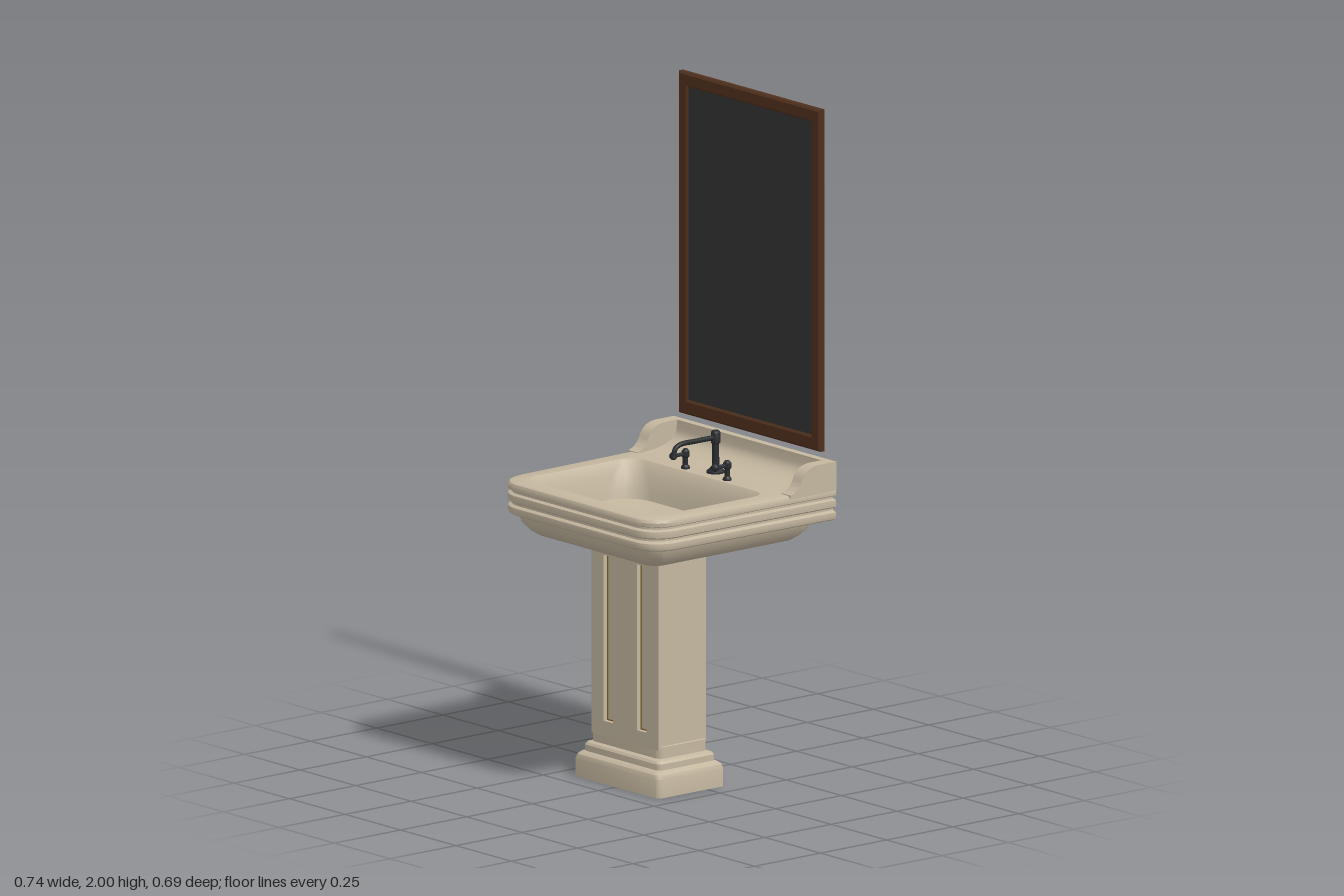
import * as THREE from 'three';
import { toCreasedNormals } from 'three/addons/utils/BufferGeometryUtils.js';

const ceramic = new THREE.MeshStandardMaterial({ name: 'ceramic', color: 0xc4b79f, side: THREE.DoubleSide });
const wood = new THREE.MeshStandardMaterial({ name: 'dark wood', color: 0x50301c });
const glass = new THREE.MeshStandardMaterial({ name: 'mirror glass', color: 0x333333 });
const metal = new THREE.MeshStandardMaterial({ name: 'dark metal', color: 0x282b2e });
const brass = new THREE.MeshStandardMaterial({ name: 'brass', color: 0x8f6a38 });

function add(parent, name, geometry, material, x = 0, y = 0, z = 0) {
  const mesh = new THREE.Mesh(geometry, material);
  mesh.name = name;
  mesh.position.set(x, y, z);
  parent.add(mesh);
  return mesh;
}

// Horizontal rounded rectangle: half width at back and front, z range, corner radii
function ring(y, wBack, wFront, z0, z1, rBack, rFront, steps = 5) {
  const points = [];
  const corners = [[1, 1], [-1, 1], [-1, -1], [1, -1]];
  corners.forEach(([sx, sz], q) => {
    const r = sz > 0 ? rFront : rBack;
    const w = sz > 0 ? wFront : wBack;
    const cz = sz > 0 ? z1 - r : z0 + r;
    for (let i = 0; i <= steps; i++) {
      const a = (q + i / steps) * Math.PI / 2;
      points.push(new THREE.Vector3(sx * (w - r) + r * Math.cos(a), y, cz + r * Math.sin(a)));
    }
  });
  return points;
}

// Skin through rings that have equal point counts
function loft(rings, crease = 0.5) {
  const pos = [];
  for (let i = 0; i < rings.length - 1; i++) {
    const n = rings[i].length;
    for (let j = 0; j < n; j++) {
      const k = (j + 1) % n;
      const a = rings[i][j], b = rings[i][k], c = rings[i + 1][k], d = rings[i + 1][j];
      for (const p of [a, d, c, a, c, b]) pos.push(p.x, p.y, p.z);
    }
  }
  const g = new THREE.BufferGeometry();
  g.setAttribute('position', new THREE.Float32BufferAttribute(pos, 3));
  return toCreasedNormals(g, crease);
}

function rect(path, x0, y0, x1, y1) {
  path.moveTo(x0, y0);
  path.lineTo(x1, y0);
  path.lineTo(x1, y1);
  path.lineTo(x0, y1);
  path.closePath();
  return path;
}

// Profile drawn in (z, y), extruded across x from x0 to x1
function acrossX(shape, x0, x1) {
  const g = new THREE.ExtrudeGeometry(shape, { depth: x1 - x0, bevelEnabled: false, curveSegments: 10 });
  g.rotateY(-Math.PI / 2).translate(x1, 0, 0);
  return toCreasedNormals(g, 0.5);
}

function createBasin() {
  const basin = new THREE.Group();
  basin.name = 'basin';
  const rim = (y, inset) => ring(y, 0.368 - inset, 0.355 - inset, -0.343 + inset * 0.4, 0.342 - inset, 0.004, 0.085 - inset * 0.5);
  const bowl = (y, w, z0, z1, r) => ring(y, w, w, z0, z1, r, r);
  const rings = [
    // underside
    bowl(0.72, 0.002, 0, 0.004, 0.001),
    bowl(0.72, 0.272, -0.275, 0.27, 0.04),
    bowl(0.732, 0.292, -0.288, 0.288, 0.05),
    bowl(0.755, 0.315, -0.305, 0.306, 0.055),
    bowl(0.782, 0.323, -0.312, 0.314, 0.06),
    // ribbed rim
    ...[[0.782, 0.01], [0.786, 0.003], [0.795, 0], [0.806, 0.001], [0.812, 0.01], [0.818, 0.01],
      [0.823, 0.001], [0.832, 0], [0.842, 0.001], [0.847, 0.01], [0.853, 0.01],
      [0.857, 0.001], [0.868, 0], [0.876, 0.004], [0.88, 0.013]].map(([y, s]) => rim(y, s)),
    // bowl interior
    bowl(0.88, 0.3, -0.135, 0.286, 0.05),
    bowl(0.872, 0.294, -0.128, 0.279, 0.055),
    bowl(0.84, 0.284, -0.113, 0.266, 0.075),
    bowl(0.8, 0.277, -0.103, 0.257, 0.092),
    bowl(0.775, 0.272, -0.098, 0.252, 0.092),
    bowl(0.745, 0.003, 0.007, 0.013, 0.001),
  ];
  add(basin, 'basinBody', loft(rings, 0.6), ceramic);

  // back ledge with a cove down to the deck
  const ledge = new THREE.Shape();
  ledge.moveTo(-0.343, 0.87);
  ledge.lineTo(-0.19, 0.87);
  ledge.lineTo(-0.19, 0.88);
  ledge.bezierCurveTo(-0.26, 0.882, -0.315, 0.895, -0.318, 0.93);
  ledge.lineTo(-0.32, 0.957);
  ledge.lineTo(-0.343, 0.957);
  add(basin, 'backsplash', acrossX(ledge, -0.326, 0.326), ceramic);

  // scrolled side wings
  const wing = new THREE.Shape();
  wing.moveTo(-0.343, 0.87);
  wing.lineTo(-0.17, 0.87);
  wing.lineTo(-0.17, 0.882);
  wing.quadraticCurveTo(-0.2, 0.89, -0.212, 0.918);
  wing.quadraticCurveTo(-0.228, 0.957, -0.275, 0.957);
  wing.lineTo(-0.343, 0.957);
  add(basin, 'rightWing', acrossX(wing, -0.366, -0.325), ceramic);
  add(basin, 'leftWing', acrossX(wing, 0.325, 0.366), ceramic);
  return basin;
}

function createPedestal() {
  const pedestal = new THREE.Group();
  pedestal.name = 'pedestal';
  add(pedestal, 'columnCore', new THREE.BoxGeometry(0.3, 0.595, 0.165), ceramic, 0, 0.4275, 0.0525);

  // front face with two recessed flutes
  const front = rect(new THREE.Shape(), -0.15, 0.13, 0.15, 0.725);
  for (const x of [-0.075, 0.075]) {
    front.holes.push(rect(new THREE.Path(), x - 0.021, 0.175, x + 0.021, 0.67));
    const trim = rect(new THREE.Shape(), x - 0.021, 0.175, x + 0.021, 0.67);
    trim.holes.push(rect(new THREE.Path(), x - 0.017, 0.179, x + 0.017, 0.666));
    add(pedestal, 'fluteTrim', new THREE.ExtrudeGeometry(trim, { depth: 0.002, bevelEnabled: false }), brass, 0, 0, 0.135);
  }
  add(pedestal, 'columnFront', new THREE.ExtrudeGeometry(front, { depth: 0.015, bevelEnabled: false }), ceramic, 0, 0, 0.135);

  // stepped base, open below
  const steps = [[0, 0.192], [0.055, 0.192], [0.067, 0.188], [0.074, 0.18], [0.077, 0.173],
    [0.095, 0.173], [0.102, 0.168], [0.106, 0.156], [0.14, 0.156], [0.142, 0.148]];
  add(pedestal, 'base', loft(steps.map(([y, w]) =>
    ring(y, w, w, 0.06 - (w - 0.066), 0.06 + (w - 0.066), 0.01, 0.02))), ceramic);
  return pedestal;
}

function createTaps() {
  const taps = new THREE.Group();
  taps.name = 'taps';
  const post = [[0, 0.875], [0.027, 0.875], [0.027, 0.885], [0.018, 0.892], [0.011, 0.9], [0.01, 0.965],
    [0.014, 0.97], [0.014, 1.0], [0.011, 1.005], [0, 1.005]].map(p => new THREE.Vector2(...p));
  add(taps, 'spoutPost', toCreasedNormals(new THREE.LatheGeometry(post, 20), 0.6), metal, 0, 0, -0.193);
  const path = new THREE.CatmullRomCurve3([[0.985, -0.193], [0.985, -0.12], [0.984, -0.06], [0.975, -0.041], [0.954, -0.034]]
    .map(([y, z]) => new THREE.Vector3(0, y, z)));
  add(taps, 'spout', new THREE.TubeGeometry(path, 24, 0.0075, 10), metal);
  add(taps, 'spoutTip', new THREE.CylinderGeometry(0.007, 0.009, 0.01, 12), metal, 0, 0.953, -0.034);

  for (const x of [-0.094, 0.094]) {
    const stem = [[0, 0.875], [0.013, 0.875], [0.013, 0.885], [0.008, 0.892], [0.008, 0.912],
      [0.012, 0.917], [0.012, 0.932], [0.006, 0.939], [0, 0.94]].map(p => new THREE.Vector2(...p));
    add(taps, 'tapStem', toCreasedNormals(new THREE.LatheGeometry(stem, 16), 0.6), metal, x, 0, -0.158);
    add(taps, 'tapLever', new THREE.CylinderGeometry(0.005, 0.007, 0.045, 10).rotateX(Math.PI / 2), metal, x, 0.924, -0.135);
    add(taps, 'tapKnob', new THREE.SphereGeometry(0.012, 14, 10), metal, x, 0.924, -0.112);
  }
  return taps;
}

function createMirror() {
  const mirror = new THREE.Group();
  mirror.name = 'mirror';
  const frame = rect(new THREE.Shape(), -0.313, 0.986, 0.313, 1.994);
  frame.holes.push(rect(new THREE.Path(), -0.284, 1.018, 0.284, 1.964));
  add(mirror, 'mirrorFrame', new THREE.ExtrudeGeometry(frame,
    { depth: 0.014, bevelThickness: 0.006, bevelSize: 0.006, bevelSegments: 1 }), wood, 0, 0, -0.337);
  add(mirror, 'mirrorGlass', new THREE.BoxGeometry(0.562, 0.94, 0.014), glass, 0, 1.491, -0.331);
  return mirror;
}

export function createModel() {
  const model = new THREE.Group();
  model.name = 'pedestalSinkWithMirror';
  model.add(createBasin(), createPedestal(), createTaps(), createMirror());
  return model;
}
